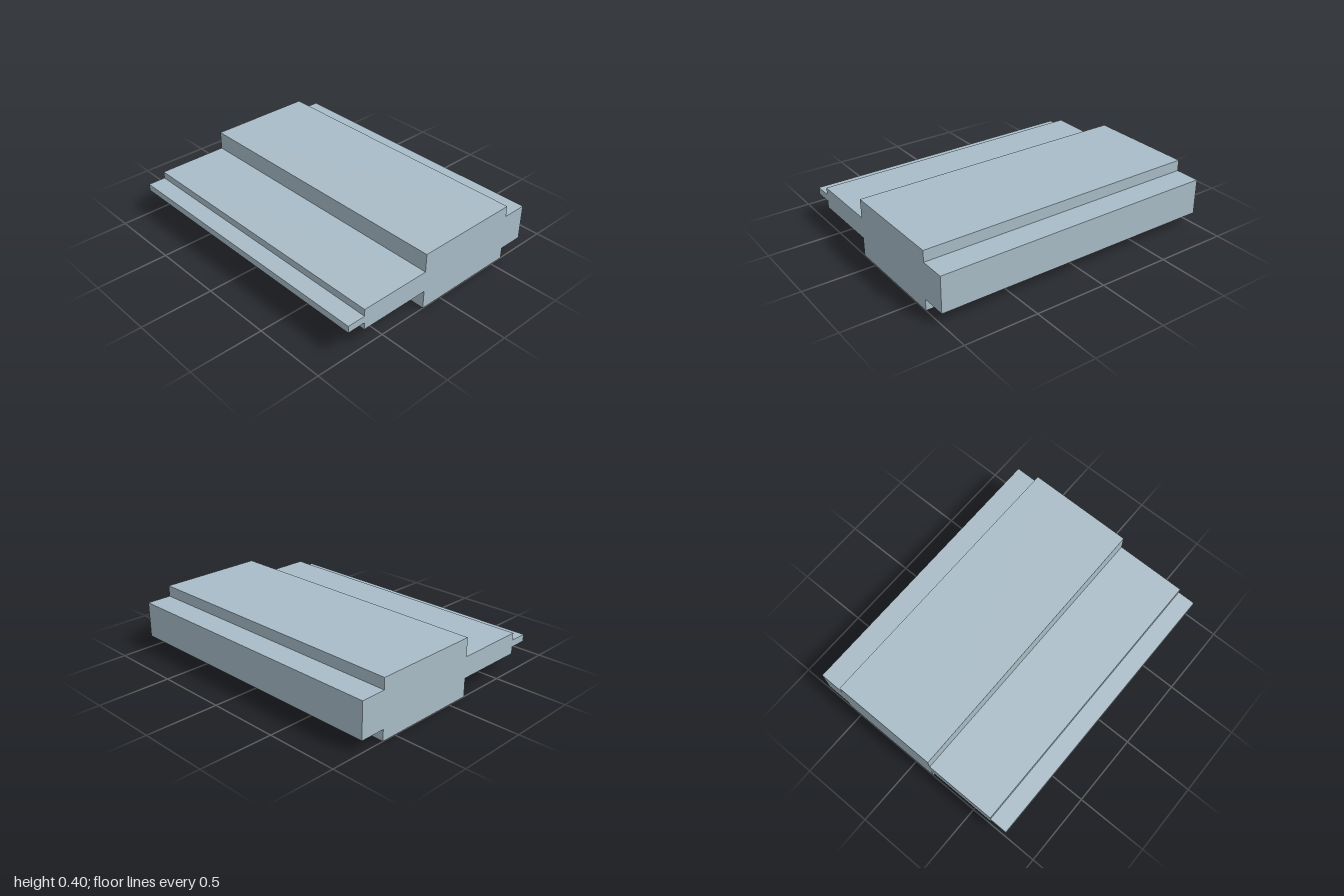
import * as THREE from 'three';

const LENGTH = 2;
const MID_Y = 0.201;

// Steps of the cross-section from right to left: [x start, x end, half height]
const STEPS = [
  [-0.775, -0.65, 0.024],  // thin tongue
  [-0.65, -0.15, 0.073],   // flange
  [-0.15, 0.6, 0.201],     // main body
  [0.6, 0.775, 0.124],     // rail
];

export function createModel() {
  const group = new THREE.Group();
  group.name = 'steppedBar';

  const steel = new THREE.MeshStandardMaterial({ color: 0xa9bcc7 });
  steel.name = 'paleBlueGrey';

  // Outline: along the underside, then back along the mirrored top
  const under = STEPS.flatMap(([x0, x1, h]) => [[x0, -h], [x1, -h]]);
  const top = under.map(([x, y]) => [x, -y]).reverse();
  const profile = new THREE.Shape(
    [...under, ...top].map(([x, y]) => new THREE.Vector2(x, y + MID_Y))
  );

  // One solid extrusion, centred along z
  const geometry = new THREE.ExtrudeGeometry(profile, { depth: LENGTH, bevelEnabled: false });
  geometry.translate(0, 0, -LENGTH / 2);

  const bar = new THREE.Mesh(geometry, steel);
  bar.name = 'steppedProfile';
  group.add(bar);
  return group;
}
